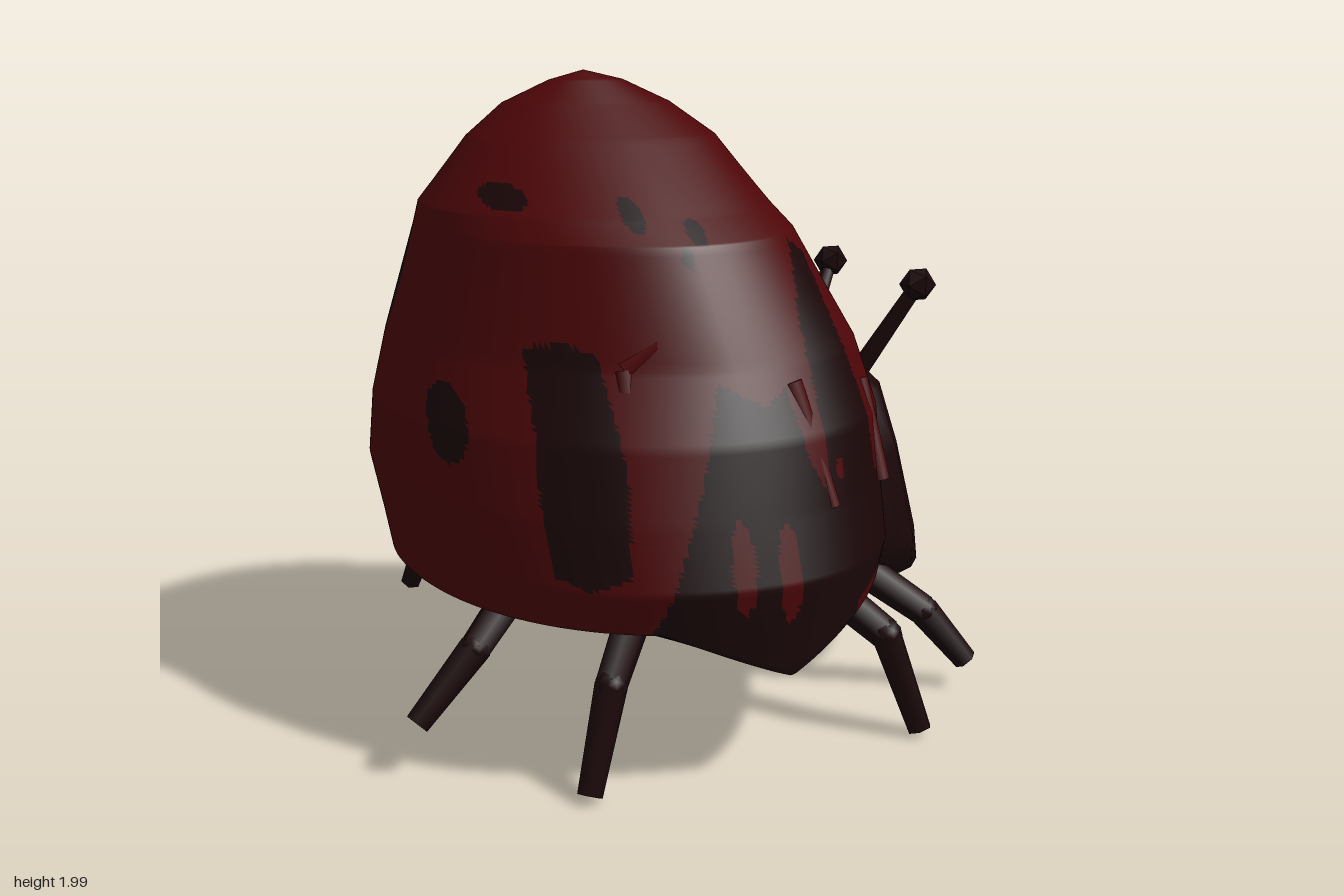
import * as THREE from 'three';

const red = new THREE.MeshStandardMaterial({ color: 0x4c0507 });
red.name = 'dark red';
const dark = new THREE.MeshStandardMaterial({ color: 0x1a0607 });
dark.name = 'brown black';

// Shell levels from top to belly: y, x min, x max, z min, z max
const shellLevels = [
  [2.0, -0.21, -0.21, -0.06, -0.06], [1.97, -0.32, -0.08, -0.13, 0], [1.9, -0.46, 0.08, -0.28, 0.1],
  [1.8, -0.57, 0.22, -0.42, 0.25], [1.6, -0.72, 0.35, -0.62, 0.53], [1.53, -0.735, 0.4, -0.68, 0.63],
  [1.2, -0.83, 0.57, -0.76, 0.77], [1.0, -0.88, 0.62, -0.81, 0.865], [0.8, -0.89, 0.62, -0.87, 0.92],
  [0.62, -0.86, 0.61, -0.84, 0.97], [0.5, -0.84, 0.59, -0.8, 0.94], [0.46, -0.7, 0.5, -0.66, 0.82],
  [0.48, -0.13, -0.13, 0.01, 0.01],
];
const headLevels = [
  [1.21, 0.4, 0.55, -0.22, 0.02], [1.18, 0.4, 0.59, -0.27, 0.1], [1.0, 0.36, 0.73, -0.43, 0.41],
  [0.8, 0.36, 0.8, -0.53, 0.45], [0.5, 0.38, 0.89, -0.57, 0.45], [0.37, 0.4, 0.93, -0.43, 0.37],
  [0.27, 0.45, 0.95, -0.25, 0.11], [0.3, 0.65, 0.65, -0.07, -0.07],
];

// Dark spots as ellipsoids: centre, radii
const spots = [
  [-0.57, 1.65, 0.3, 0.055, 0.04, 0.3], [-0.27, 1.61, 0.45, 0.032, 0.05, 0.3],
  [-0.11, 1.56, 0.5, 0.03, 0.04, 0.3], [-0.16, 1.5, 0.6, 0.02, 0.03, 0.3], [-0.77, 1.0, 0.25, 0.05, 0.13, 0.2],
  [0.4, 1.45, 0.22, 0.3, 0.09, 0.08], [0.27, 1.62, -0.34, 0.1, 0.04, 0.05], [0.2, 1.15, -0.66, 0.13, 0.25, 0.12],
  [0.62, 0.95, 0.25, 0.2, 0.06, 0.08], [-0.29, 1.1, -0.79, 0.09, 0.15, 0.12], [-0.13, 1.65, -0.52, 0.075, 0.35, 0.14],
  [-0.47, 1.7, -0.28, 0.08, 0.3, 0.12], [-0.74, 1.35, -0.3, 0.11, 0.28, 0.13], [-0.62, 1.22, -0.58, 0.07, 0.11, 0.1],
  [-0.64, 0.78, -0.57, 0.12, 0.18, 0.17], [-0.27, 1.3, 0.5, 0.04, 0.08, 0.1], [0.6, 1.15, -0.1, 0.1, 0.08, 0.04],
];
// Dark front patches in x, y, with red islands
const patches = [
  [
    [-0.37, 0.2], [-0.37, 0.48], [-0.22, 0.88], [-0.13, 1.17], [0, 1.1], [0.08, 1.14], [0.12, 0.95], [0.2, 0.8],
    [0.18, 1.15], [0.18, 1.3], [0.23, 1.52], [0.31, 1.47], [0.35, 1.25], [0.4, 1.05], [0.43, 0.85], [0.5, 0.78],
    [0.48, 0.58], [0.3, 0.5], [0.3, 0.2],
  ],
  [[-0.59, 1.25], [-0.5, 1.27], [-0.42, 1.23], [-0.4, 0.9], [-0.42, 0.66], [-0.52, 0.62], [-0.59, 0.65], [-0.61, 0.85]],
];
const islands = [[-0.12, 0.68, 0.035, 0.13], [0.02, 0.65, 0.035, 0.14], [0.24, 0.9, 0.015, 0.03]];

function inPolygon(x, y, poly) {
  let inside = false;
  poly.forEach(([x1, y1], i) => {
    const [x2, y2] = poly[(i + 1) % poly.length];
    if ((y1 > y) !== (y2 > y) && x < x1 + ((y - y1) * (x2 - x1)) / (y2 - y1)) inside = !inside;
  });
  return inside;
}

function isDark(p) {
  if (p.z > 0.4 && patches.some((poly) => inPolygon(p.x, p.y, poly)))
    return !islands.some(([x, y, a, b]) => ((p.x - x) / a) ** 2 + ((p.y - y) / b) ** 2 < 1);
  return spots.some(([x, y, z, a, b, c]) => ((p.x - x) / a) ** 2 + ((p.y - y) / b) ** 2 + ((p.z - z) / c) ** 2 < 1);
}

// Stacked rounded rings; group 0 is plain, group 1 holds the faces chosen by the test
function loft(levels, sides, steps, centre, power, adjust, test) {
  const points = [];
  levels.forEach((level, k) => {
    const next = levels[k + 1];
    const count = next ? steps : 1;
    for (let s = 0; s < count; s++) {
      const [y, x0, x1, z0, z1] = level.map((v, i) => (next ? v + ((next[i] - v) * s) / count : v));
      const cx = x0 + (x1 - x0) * centre, cz = (z0 + z1) / 2;
      for (let j = 0; j < sides; j++) {
        const a = (j / sides) * Math.PI * 2, c = Math.cos(a), d = Math.sin(a), e = 2 / power(c, d, y);
        const px = Math.sign(c) * Math.abs(c) ** e, pz = Math.sign(d) * Math.abs(d) ** e;
        const p = new THREE.Vector3(cx + px * (px > 0 ? x1 - cx : cx - x0), y, cz + (pz * (z1 - z0)) / 2);
        points.push(adjust(p));
      }
    }
  });
  const plain = [], chosen = [], mid = new THREE.Vector3();
  const add = (...f) => {
    mid.set(0, 0, 0);
    f.forEach((i) => mid.addScaledVector(points[i], 1 / 3));
    (test(mid) ? chosen : plain).push(...f);
  };
  for (let i = 0; i < points.length / sides - 1; i++) {
    for (let j = 0; j < sides; j++) {
      const a = i * sides + j, b = i * sides + ((j + 1) % sides);
      add(a, b, a + sides);
      add(b, b + sides, a + sides);
    }
  }
  const g = new THREE.BufferGeometry().setFromPoints(points);
  g.setIndex([...plain, ...chosen]);
  g.addGroup(0, plain.length, 0);
  g.addGroup(plain.length, chosen.length, 1);
  g.computeVertexNormals();
  return g;
}

// Fuller behind the head, slimmer toward the top of the front left
function shellPower(c, d, y) {
  if (d < 0) return c > 0 ? 2.4 : 2.05;
  return c > 0 ? 2.05 : 2.2 - 0.45 * THREE.MathUtils.clamp((y - 0.6) / 0.6, 0, 1);
}

// Tapered straight piece between two points
function rod(a, b, r0, r1, name, material = dark) {
  const from = new THREE.Vector3(...a), to = new THREE.Vector3(...b);
  const dir = to.clone().sub(from);
  const mesh = new THREE.Mesh(new THREE.CylinderGeometry(r1, r0, dir.length(), 6), material);
  mesh.position.copy(from).add(to).multiplyScalar(0.5);
  mesh.quaternion.setFromUnitVectors(new THREE.Vector3(0, 1, 0), dir.normalize());
  mesh.name = name;
  return mesh;
}

export function createModel() {
  const model = new THREE.Group();
  model.name = 'beetle';

  // Domed shell, slightly skewed, dipping at the front patch
  const shell = new THREE.Mesh(loft(shellLevels, 280, 14, 0.5, shellPower, (p) => {
    p.x += 0.08 * p.z * THREE.MathUtils.clamp((1.9 - p.y) / 0.7, 0, 1);
    const dip = Math.max(0, 1 - Math.abs(p.x - 0.04) / 0.38);
    if (p.z > 0 && p.y < 0.62) p.y -= dip * 0.18 * p.z * p.z * Math.min(1, (0.62 - p.y) / 0.12);
    return p;
  }, isDark), [red, dark]);
  shell.name = 'shell';
  model.add(shell);

  // Shallow folds on the front of the shell
  model.add(
    rod([-0.37, 0.65, 0.82], [-0.36, 1.2, 0.66], 0.015, 0.03, 'shellFold', red),
    rod([-0.36, 1.2, 0.66], [-0.25, 1.28, 0.68], 0.03, 0.02, 'shellFold', red),
    rod([0.2, 0.8, 0.86], [0.11, 1.15, 0.76], 0.02, 0.03, 'shellFold', red),
    rod([0.47, 0.8, 0.66], [0.43, 1.1, 0.58], 0.025, 0.025, 'shellFold', red),
  );

  // Head bulging from the side, its underside rising inward
  const head = new THREE.Mesh(loft(headLevels, 20, 1, 0.35, () => 2.3, (p) => {
    p.y = Math.max(p.y, 0.27 + (0.95 - p.x) * 0.35);
    return p;
  }, () => false), [dark, dark]);
  head.name = 'head';
  model.add(head);

  // Jointed legs: root, knee, foot
  const legs = [
    [[-0.58, 0.52, 0.36], [-0.74, 0.36, 0.43], [-0.93, 0.17, 0.47]],
    [[-0.3, 0.48, 0.6], [-0.43, 0.31, 0.73], [-0.53, 0.03, 0.82]],
    [[-0.51, 0.52, -0.62], [-0.55, 0.34, -0.8], [-0.59, 0.11, -0.93]],
    [[0.32, 0.5, -0.5], [0.47, 0.32, -0.68], [0.56, 0.03, -0.84]],
    [[0.52, 0.46, -0.42], [0.78, 0.26, -0.53], [0.9, 0.1, -0.61]],
    [[0.52, 0.46, 0.34], [0.77, 0.27, 0.44], [0.9, 0.1, 0.5]],
    [[0.32, 0.48, 0.45], [0.48, 0.32, 0.7], [0.56, 0.03, 0.78]],
  ];
  for (const [root, knee, foot] of legs) {
    const leg = new THREE.Group();
    leg.name = 'leg';
    const joint = new THREE.Mesh(new THREE.IcosahedronGeometry(0.049, 1), dark);
    joint.position.set(...knee);
    joint.name = 'knee';
    leg.add(rod(root, knee, 0.058, 0.05, 'upperLeg'), joint, rod(knee, foot, 0.05, 0.038, 'lowerLeg'));
    model.add(leg);
  }
  model.add(rod([0, 0.5, -0.68], [0.01, 0.06, -0.97], 0.05, 0.002, 'backSpikeLeg'));

  // Antennae with knobs
  for (const [base, tip] of [
    [[0.67, 0.98, 0.11], [0.86, 1.3, 0.19]],
    [[0.67, 0.98, -0.27], [0.86, 1.3, -0.41]],
  ]) {
    const antenna = new THREE.Group();
    antenna.name = 'antenna';
    const knob = new THREE.Mesh(new THREE.IcosahedronGeometry(0.06, 0), dark);
    knob.position.set(...tip);
    knob.name = 'antennaKnob';
    antenna.add(rod(base, tip, 0.032, 0.024, 'antennaStalk'), knob);
    model.add(antenna);
  }
  return model;
}
